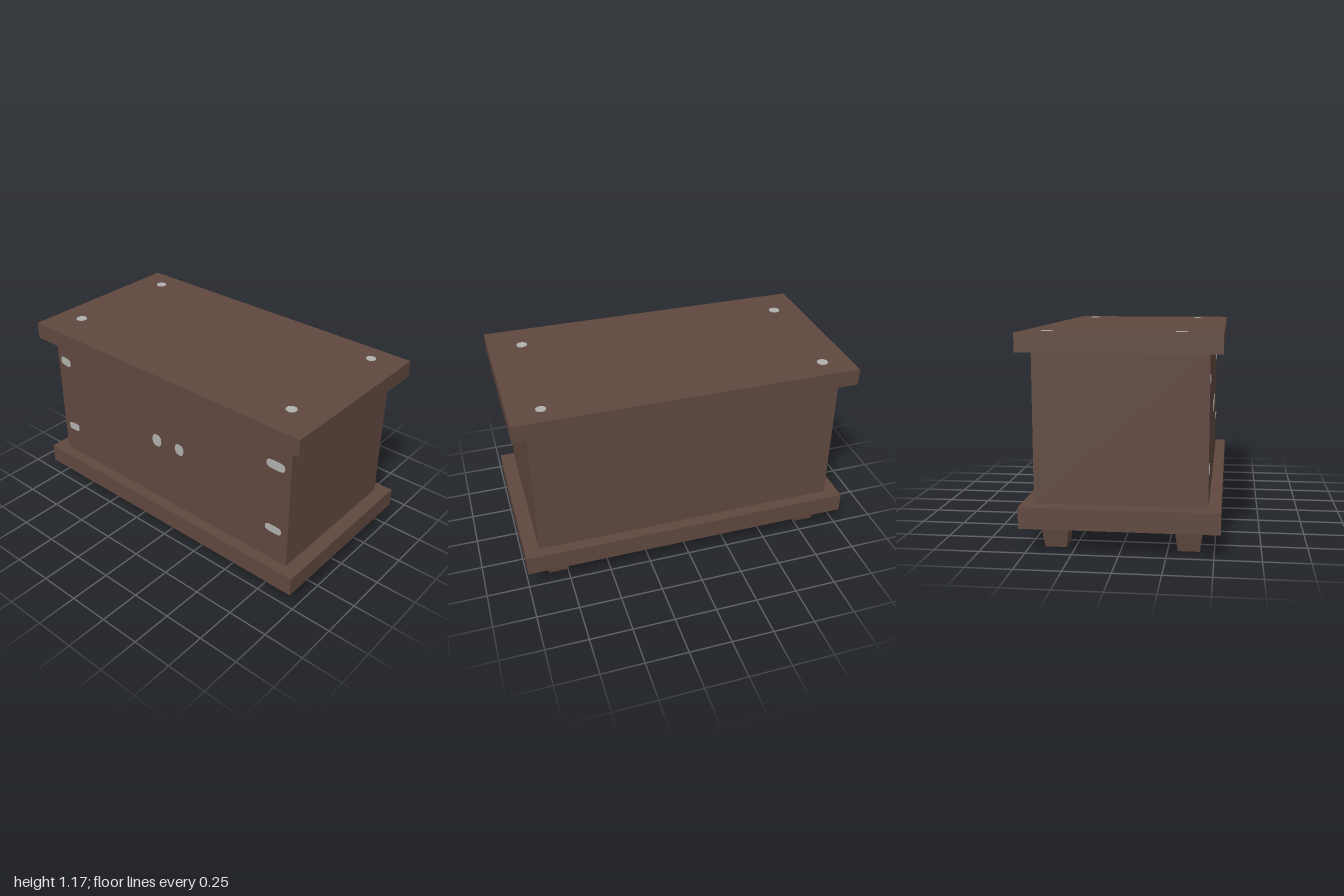
import * as THREE from 'three';

export function createModel() {
  const model = new THREE.Group();
  const wood = new THREE.MeshStandardMaterial({ color: 0x60483f });
  wood.name = 'dark brown wood';
  const metal = new THREE.MeshStandardMaterial({ color: 0xb0b0ae });
  metal.name = 'grey metal';

  const add = (name, geometry, material, x, y, z) => {
    const mesh = new THREE.Mesh(geometry, material);
    mesh.name = name;
    mesh.position.set(x, y, z);
    model.add(mesh);
    return mesh;
  };

  // Board or box spanning y0..y1
  const slab = (name, w, d, y0, y1) =>
    add(name, new THREE.BoxGeometry(w, y1 - y0, d), wood, 0, (y0 + y1) / 2, 0);
  slab('base', 2, 1.068, 0.133, 0.25);
  slab('body', 1.83, 0.932, 0.25, 1.066);
  slab('lid', 2, 1.068, 1.066, 1.167);

  // Square feet, narrower at the floor
  const foot = new THREE.BoxGeometry(0.155, 0.133, 0.155);
  const p = foot.attributes.position;
  for (let i = 0; i < p.count; i++) {
    if (p.getY(i) < 0) p.setXYZ(i, p.getX(i) * 0.76, p.getY(i), p.getZ(i) * 0.76);
  }
  foot.computeVertexNormals();
  for (const x of [-0.818, 0.808]) {
    for (const z of [-0.358, 0.364]) add('foot', foot, wood, x, 0.0665, z);
  }

  // Thin rounded plate with half sizes a, b; squareness below 1 fills the corners
  const plate = (a, b, squareness) => {
    const bend = (v) => Math.sign(v) * Math.abs(v) ** squareness;
    const points = [];
    for (let i = 0; i < 24; i++) {
      const t = (i / 24) * Math.PI * 2;
      points.push(new THREE.Vector2(a * bend(Math.cos(t)), b * bend(Math.sin(t))));
    }
    return new THREE.ExtrudeGeometry(new THREE.Shape(points), { depth: 0.003, bevelEnabled: false });
  };

  // Hinges and handles on the front: x, y, half width, half height, tilt
  const hinges = [
    [-0.846, 0.92, 0.043, 0.027, -0.12], [-0.829, 0.442, 0.046, 0.026, 0.1],
    [0.815, 0.893, 0.06, 0.027, 0], [0.816, 0.465, 0.055, 0.024, 0],
  ];
  for (const [x, y, a, b, tilt] of hinges) {
    add('hinge', plate(a, b, 0.6), metal, x, y, 0.466).rotation.z = tilt;
  }
  for (const [x, y, a, b] of [[-0.061, 0.668, 0.035, 0.04], [0.12, 0.679, 0.033, 0.037]]) {
    add('handle', plate(a, b, 0.85), metal, x, y, 0.466);
  }

  // Studs on the lid: x, z, radius
  const studs = [
    [-0.831, -0.396, 0.032], [0.816, -0.411, 0.029], [-0.837, 0.315, 0.033], [0.799, 0.33, 0.031],
  ];
  for (const [x, z, r] of studs) {
    add('lidStud', plate(r, r * 0.97, 0.95), metal, x, 1.167, z).rotation.x = -Math.PI / 2;
  }
  return model;
}
